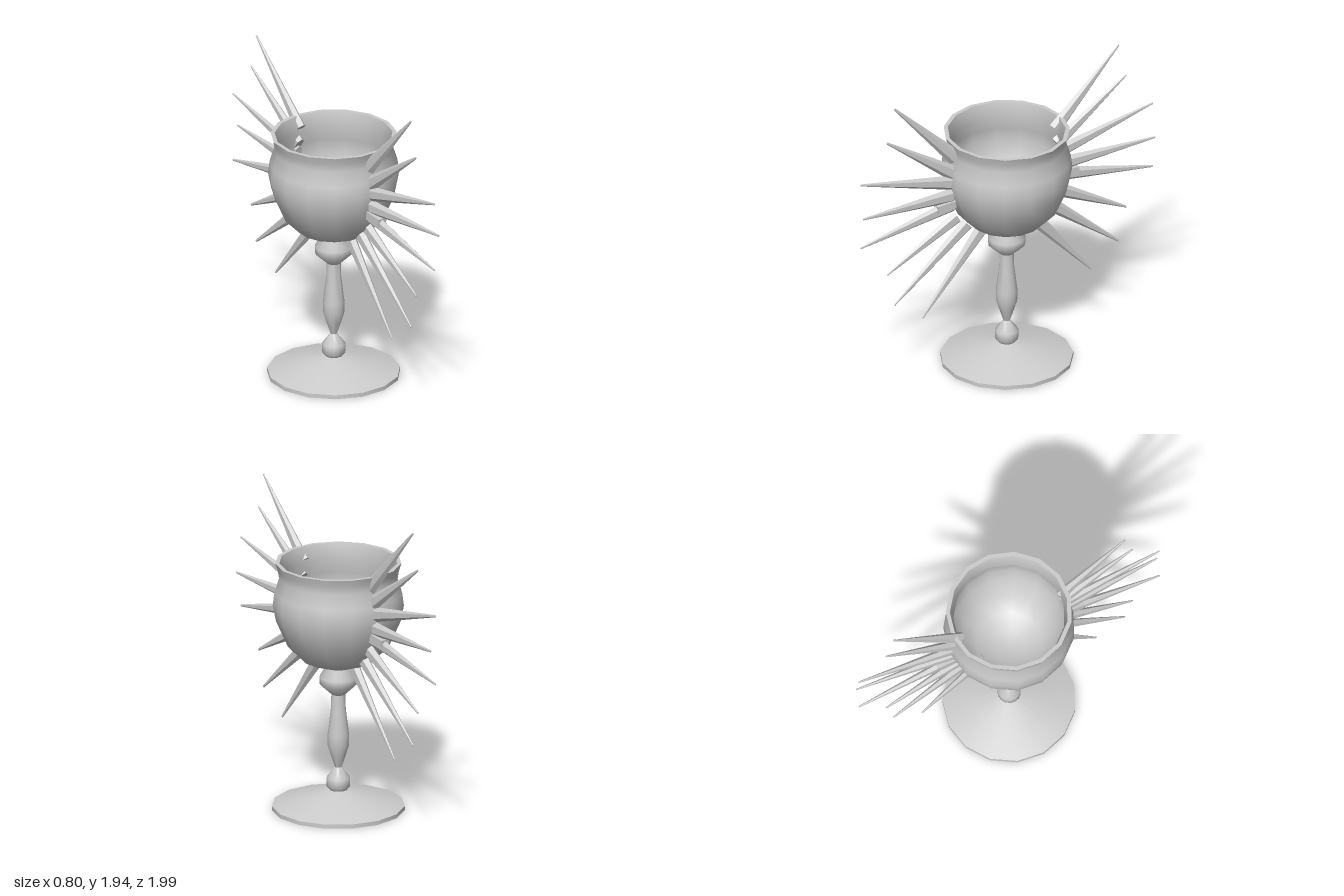
import * as THREE from 'three';
import { toCreasedNormals } from 'three/addons/utils/BufferGeometryUtils.js';

const SIDES = 15;

export function createModel() {
  const model = new THREE.Group();
  model.name = 'spikedGoblet';
  const material = new THREE.MeshStandardMaterial({ color: 0xcccccc, side: THREE.DoubleSide });

  // Turned parts: profile points are [radius, height]
  function turned(name, profile, crease) {
    const points = profile.map(([r, y]) => new THREE.Vector2(r, y));
    const geometry = new THREE.LatheGeometry(points, SIDES);
    geometry.rotateY(Math.PI);
    const mesh = new THREE.Mesh(toCreasedNormals(geometry, crease), material);
    mesh.name = name;
    model.add(mesh);
  }

  turned('foot', [[0, 0], [0.4, 0], [0.4, 0.025], [0.22, 0.08], [0.055, 0.12]], 0.6);
  turned('stem', [
    [0.05, 0.115], [0.07, 0.14], [0.07, 0.195], [0.02, 0.26], [0.045, 0.335],
    [0.065, 0.4], [0.065, 0.465], [0.045, 0.63], [0.042, 0.725],
  ], 0.9);
  turned('knob', [[0.042, 0.72], [0.112, 0.785], [0.114, 0.83], [0.08, 0.885], [0.08, 0.91]], 0.9);
  turned('bowl', [
    [0, 0.9], [0.115, 0.905], [0.22, 0.945], [0.305, 1.03], [0.375, 1.19], [0.395, 1.29],
    [0.385, 1.37], [0.357, 1.46], [0.365, 1.51], [0.38, 1.555], [0.355, 1.555],
    [0.335, 1.46], [0.36, 1.37], [0.365, 1.29], [0.345, 1.19], [0.28, 1.06],
    [0.2, 0.98], [0.1, 0.94], [0, 0.93],
  ], 0.9);

  // Flattened tapering spike between two points
  const up = new THREE.Vector3(0, 1, 0);
  function spike(name, base, tip) {
    const axis = tip.clone().sub(base);
    const geometry = new THREE.CylinderGeometry(0.007, 0.048, axis.length(), 6);
    geometry.scale(0.6, 1, 1);
    const mesh = new THREE.Mesh(toCreasedNormals(geometry, 0.6), material);
    mesh.name = name;
    mesh.position.copy(base).add(tip).multiplyScalar(0.5);
    // Pitch in the z-y plane first, then yaw, so the flat side stays sideways
    mesh.rotation.order = 'YXZ';
    mesh.rotation.x = Math.atan2(axis.z, axis.y);
    mesh.rotation.z = -Math.atan2(axis.x, Math.hypot(axis.y, axis.z));
    model.add(mesh);
  }

  // [base z, base y, tip z, tip y, tip x]
  const spikes = [
    [0.35, 1.46, 0.765, 1.9, 0],
    [0.36, 1.355, 0.815, 1.68, 0],
    [0.37, 1.295, 0.995, 1.44, 0],
    [0.375, 1.21, 0.995, 1.225, 0.035],
    [0.37, 1.145, 0.995, 1.01, 0],
    [0.34, 1.055, 0.815, 0.78, 0],
    [0.27, 0.99, 0.765, 0.56, 0],
    [0.17, 0.93, 0.575, 0.42, 0],
  ];
  spikes.forEach(([bz, by, tz, ty, tx], i) => {
    spike(`frontSpike${i + 1}`, new THREE.Vector3(0, by, bz), new THREE.Vector3(tx, ty, tz));
    // Rear spikes sit slightly higher and reach a little deeper
    spike(`rearSpike${i + 1}`, new THREE.Vector3(0, by + 0.02, -bz + 0.02), new THREE.Vector3(tx, ty + 0.038, -tz));
  });

  // Short stubs on the middle spikes
  for (const side of [1, -1]) {
    const stub = new THREE.Mesh(new THREE.BoxGeometry(0.06, 0.05, 0.12), material);
    stub.name = side > 0 ? 'frontStub' : 'rearStub';
    stub.position.set(0, side > 0 ? 1.15 : 1.17, side * 0.42);
    stub.rotation.x = side * 0.1;
    model.add(stub);
  }
  return model;
}
